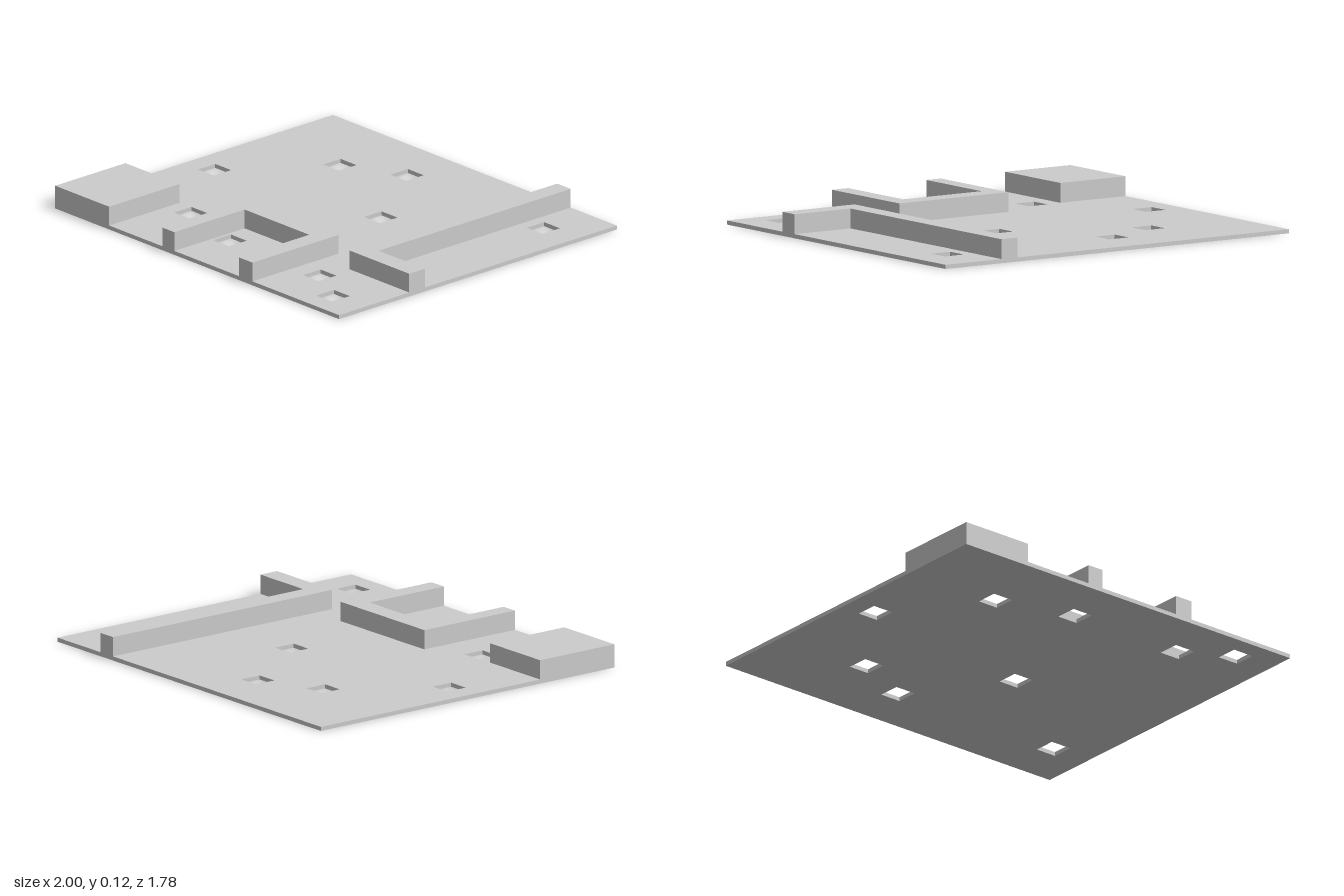
import * as THREE from 'three';

const PLATE = 0.02, TOP = 0.115, DEPTH = 0.89;

// Plan outline given as [x, z] points
const outline = (points, Type) => new Type(points.map(([x, z]) => new THREE.Vector2(x, -z)));
const rect = (x0, z0, x1, z1) => [[x0, z0], [x0, z1], [x1, z1], [x1, z0]];

export function createModel() {
  const group = new THREE.Group();
  const material = new THREE.MeshStandardMaterial({ color: 0xcccccc, flatShading: true });

  // Raise a plan shape from y0 to y1
  const addSlab = (name, shape, y0, y1) => {
    const geometry = new THREE.ExtrudeGeometry(shape, { depth: y1 - y0, bevelEnabled: false });
    geometry.rotateX(-Math.PI / 2).translate(0, y0, 0);
    const mesh = new THREE.Mesh(geometry, material);
    mesh.name = name;
    group.add(mesh);
  };

  // Floor plate with square through-holes
  const floor = outline(rect(-1, -DEPTH, 1, DEPTH), THREE.Shape);
  const holeCentres = [
    [-0.17, -0.61], [-0.485, -0.465], [0.79, -0.61], [0.165, -0.137], [-0.835, 0.02],
    [-0.485, 0.49], [-0.087, 0.6], [0.545, 0.6], [0.79, 0.737],
  ];
  const r = 0.056;
  for (const [x, z] of holeCentres) {
    floor.holes.push(outline(rect(x - r, z - r, x + r, z + r), THREE.Path));
  }
  addSlab('floorPlate', floor, 0, PLATE);

  // Solid block in the front corner
  addSlab('cornerBlock', outline(rect(-1, 0.44, -0.62, DEPTH), THREE.Shape), PLATE, TOP);

  // U-shaped wall open to the front
  addSlab('uWall', outline([
    [-0.245, 0.34], [-0.245, DEPTH], [-0.16, DEPTH], [-0.16, 0.44],
    [0.295, 0.44], [0.295, DEPTH], [0.39, DEPTH], [0.39, 0.34],
  ], THREE.Shape), PLATE, TOP);

  // L-shaped wall running from the back edge to the left edge
  addSlab('lWall', outline([
    [0.58, -DEPTH], [0.58, 0.44], [1, 0.44], [1, 0.34], [0.675, 0.34], [0.675, -DEPTH],
  ], THREE.Shape), PLATE, TOP);

  return group;
}
